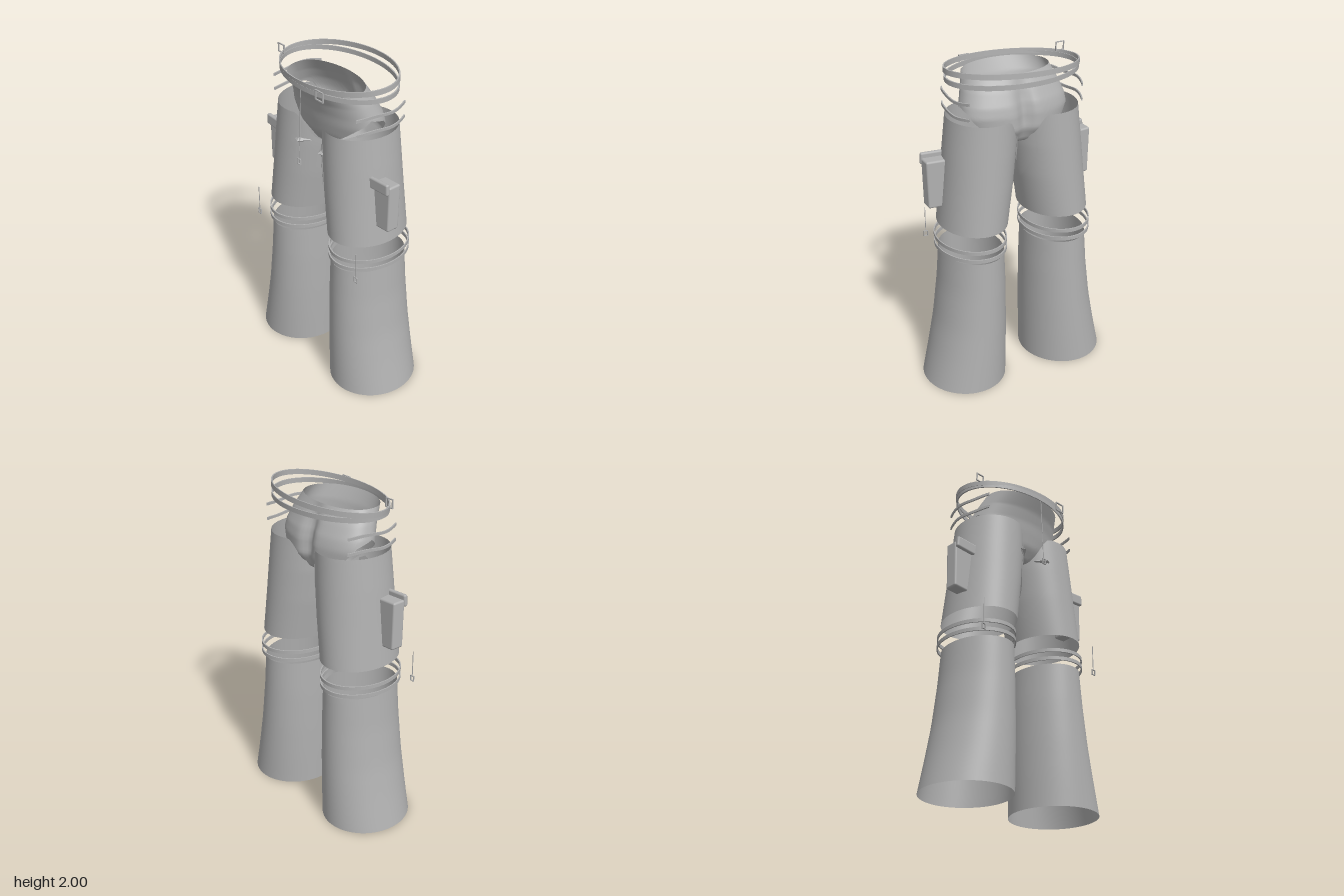
import * as THREE from 'three';
import { RoundedBoxGeometry } from 'three/addons/geometries/RoundedBoxGeometry.js';

const grey = new THREE.MeshStandardMaterial({ color: 0xb0b0b0, side: THREE.DoubleSide });
grey.name = 'grey cloth';

function add(parent, name, geometry, x = 0, y = 0, z = 0) {
  const mesh = new THREE.Mesh(geometry, grey);
  mesh.name = name;
  mesh.position.set(x, y, z);
  parent.add(mesh);
  return mesh;
}

// Surface from a rule fn(u, v) -> [x, y, z]; closed joins u = 1 to u = 0
function grid(nu, nv, fn, closed = false) {
  const pos = [], index = [], cols = closed ? nu : nu + 1;
  for (let j = 0; j <= nv; j++)
    for (let i = 0; i < cols; i++) pos.push(...fn(i / nu, j / nv));
  for (let j = 0; j < nv; j++)
    for (let i = 0; i < nu; i++) {
      const a = j * cols + i, b = j * cols + (i + 1) % cols;
      index.push(a, a + cols, b, b, a + cols, b + cols);
    }
  const g = new THREE.BufferGeometry();
  g.setAttribute('position', new THREE.Float32BufferAttribute(pos, 3));
  g.setIndex(index);
  g.computeVertexNormals();
  return g;
}

// Linear lookup in rows sorted by their first column
function lookup(rows, t) {
  let i = 0;
  while (i < rows.length - 2 && t > rows[i + 1][0]) i++;
  const a = rows[i], b = rows[i + 1];
  const k = THREE.MathUtils.clamp((t - a[0]) / (b[0] - a[0]), 0, 1);
  return a.map((v, n) => v + (b[n] - v) * k);
}

// Rectangular band, full or partial ring
function band(r, h, t, start = 0, length = Math.PI * 2) {
  const p = [[r - t, -h / 2], [r, -h / 2], [r, h / 2], [r - t, h / 2], [r - t, -h / 2]];
  const pts = p.map(([a, b]) => new THREE.Vector2(a, b));
  // separate each side so that the edges stay sharp
  const g = new THREE.BufferGeometry(), pos = [], nor = [];
  for (let i = 0; i < 4; i++) {
    const s = new THREE.LatheGeometry([pts[i], pts[i + 1]], 64, start, length).toNonIndexed();
    pos.push(...s.attributes.position.array);
    nor.push(...s.attributes.normal.array);
  }
  g.setAttribute('position', new THREE.Float32BufferAttribute(pos, 3));
  g.setAttribute('normal', new THREE.Float32BufferAttribute(nor, 3));
  return g;
}

// Thin square frame
function frame(w, h, t) {
  const rect = (C, a, b) => new C([[-a, -b], [a, -b], [a, b], [-a, b]].map(([x, y]) => new THREE.Vector2(x, y)));
  const s = rect(THREE.Shape, w / 2, h / 2);
  s.holes.push(rect(THREE.Path, w / 2 - t, h / 2 - t));
  return new THREE.ExtrudeGeometry(s, { depth: 0.008, bevelEnabled: false }).translate(0, 0, -0.004);
}

// Height, inner x, outer x, z radius
const lowerLeg = [[0, 0.09, 0.6, 0.275], [0.2, 0.087, 0.555, 0.268], [0.4, 0.086, 0.515, 0.26],
  [0.65, 0.088, 0.482, 0.25], [0.87, 0.095, 0.463, 0.241]];
const thigh = [[1.05, 0.07, 0.47, 0.252], [1.3, 0.032, 0.443, 0.242], [1.5, 0.01, 0.423, 0.233], [1.7, 0.0, 0.4, 0.223]];

function onTube(rows, a, y, grow = 0) {
  const [, xi, xo, rz] = lookup(rows, y);
  return [(xi + xo) / 2 + Math.cos(a) * ((xo - xi) / 2 + grow), y, Math.sin(a) * (rz + grow) - 0.003];
}

function leg(side) {
  const g = new THREE.Group();
  g.name = side > 0 ? 'leftLeg' : 'rightLeg';
  const flip = (p) => [p[0] * side, p[1], p[2]];

  add(g, 'lowerLeg', grid(64, 16, (u, v) => flip(onTube(lowerLeg, u * Math.PI * 2, v * 0.87)), true));
  // Thigh rim drops towards the crotch
  add(g, 'thigh', grid(72, 20, (u, v) => {
    const a = u * Math.PI * 2;
    const drop = THREE.MathUtils.smoothstep(-Math.cos(a), 0.35, 1) * 0.18;
    return flip(onTube(thigh, a, 1.05 + v * (0.65 - drop)));
  }, true));
  // Inner thigh panel, tapering to a point below
  add(g, 'innerPanel', grid(24, 12, (u, v) => {
    const a = Math.PI * (0.66 + 0.6 * u);
    const low = 1.17 + 0.3 * Math.pow(Math.abs(u - 0.42) / 0.58, 1.2);
    const high = 1.52 + 0.08 * Math.pow(Math.abs(u - 0.5) * 2, 2);
    return flip(onTube(thigh, a, low + (high - low) * v, 0.007));
  }));
  // Pointed fold at the groin
  const fold = add(g, 'groinFold', new THREE.ConeGeometry(0.042, 0.07, 4).toNonIndexed(), side * 0.1, 1.535, 0.195);
  fold.geometry.computeVertexNormals();
  fold.geometry.rotateX(Math.PI / 2);
  fold.scale.set(1.6, 0.8, 0.7);
  fold.rotation.y = -side * 0.3;

  for (const y of [0.902, 0.955]) {
    add(g, 'kneeRing', band(1, 0.022, 0.03), side * 0.285, y, -0.007).scale.set(0.205, 1, 0.258);
  }
  add(g, 'kneeZip', new THREE.BoxGeometry(0.004, 0.16, 0.003), side * 0.46, 0.98, 0.245);
  add(g, 'kneeZipPull', frame(0.028, 0.035, 0.004), side * 0.46, 0.883, 0.245);

  // Hip straps, gently waved
  for (const y of [1.83, 1.742]) {
    const s = band(0.402, 0.016, 0.008, Math.PI / 2 - 0.45, 0.9);
    const p = s.attributes.position;
    for (let i = 0; i < p.count; i++) p.setY(i, p.getY(i) + 0.006 * Math.sin(p.getZ(i) * 22));
    add(g, 'hipStrap', s, 0, y, -0.005).rotation.y = side > 0 ? 0 : Math.PI;
  }

  // Side pocket with flap
  const pocket = new THREE.Group();
  pocket.name = 'pocket';
  pocket.position.set(side * 0.45, 1.32, 0.042);
  pocket.rotation.z = side * 0.06;
  const body = new RoundedBoxGeometry(0.2, 0.29, 0.082, 3, 0.012);
  const bp = body.attributes.position;
  for (let i = 0; i < bp.count; i++) bp.setX(i, bp.getX(i) * (0.88 + bp.getY(i) * 0.8));
  add(pocket, 'pocketBody', body, 0, -0.005, 0);
  add(pocket, 'pocketFlap', new RoundedBoxGeometry(0.215, 0.07, 0.026, 3, 0.011), side * -0.008, 0.132, 0.05);
  g.add(pocket);
  return g;
}

// Briefs: step, height, half width, front z, back z
const hipRows = [[0, 1.92, 0.265, 0.25, -0.08], [0.2, 1.84, 0.297, 0.205, -0.13], [0.4, 1.765, 0.322, 0.18, -0.168],
  [0.5, 1.71, 0.332, 0.17, -0.182], [0.7, 1.62, 0.3, 0.15, -0.186], [0.88, 1.535, 0.2, 0.1, -0.135], [1, 1.5, 0.04, 0.01, -0.01]];
// Angle from the front, depth of the surface before the leg opening
const hipCut = [[0, 1], [0.15, 1], [0.5, 0.74], [1, 0.5], [1.45, 0.4], [1.9, 0.46], [2.35, 0.74], [2.8, 1], [3.15, 1]];

function hips() {
  return grid(96, 28, (u, v) => {
    const a = (u - 0.5) * Math.PI * 2;
    const s = v * lookup(hipCut, Math.abs(a))[1];
    const [, y, rx, zf, zb] = lookup(hipRows, s);
    const mid = (zf + zb) / 2, c = Math.cos(a), x = Math.sin(a) * rx;
    let z = mid + Math.sign(c) * Math.pow(Math.abs(c), c < 0 ? 0.8 : 1) * (zf - zb) / 2;
    // cleft at the back
    if (c < 0) z += 0.045 * Math.exp(-Math.pow(x / 0.045, 2)) * Math.sin(Math.PI * s);
    return [x, y, z];
  }, true);
}

export function createModel() {
  const model = new THREE.Group();
  model.name = 'trousers';
  model.add(leg(1), leg(-1));
  add(model, 'hips', hips());

  // Belts: one level, one tilted
  add(model, 'levelBelt', band(1, 0.028, 0.022), 0, 1.922, -0.008).scale.set(0.405, 1, 0.268);
  const tilted = new THREE.Group();
  tilted.name = 'tiltedBelt';
  tilted.position.set(0, 1.96, -0.008);
  tilted.rotation.set(0.06, 0, 0.045);
  add(tilted, 'beltBand', band(1, 0.03, 0.022)).scale.set(0.41, 1, 0.268);
  model.add(tilted);
  add(model, 'frontBuckle', frame(0.066, 0.06, 0.006), 0.168, 1.932, 0.262);
  add(model, 'sideBuckle', frame(0.056, 0.054, 0.005), -0.374, 1.973, 0.1);

  // Fly zip
  const zip = add(model, 'flyZip', new THREE.BoxGeometry(0.004, 0.44, 0.003), 0, 1.7, 0.265);
  zip.rotation.x = -0.04;
  add(model, 'flyZipPull', frame(0.028, 0.036, 0.004), 0, 1.465, 0.277);
  return model;
}
